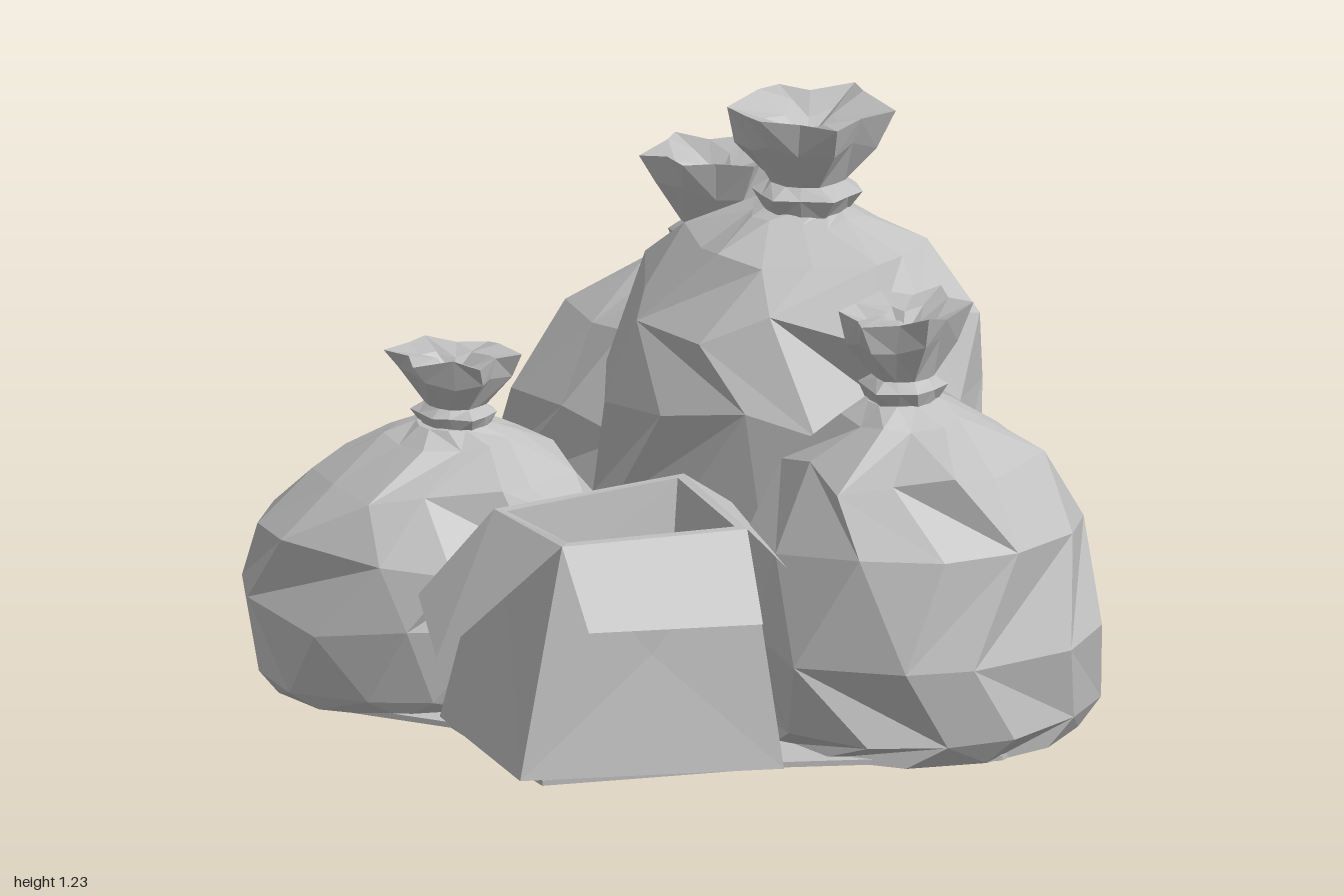
import * as THREE from 'three';

const grey = new THREE.MeshStandardMaterial({ color: 0xc0c0c0, side: THREE.DoubleSide, flatShading: true });
grey.name = 'grey';

function seeded(seed) {
  return () => {
    seed = (seed * 16807) % 2147483647;
    return seed / 2147483647;
  };
}

function facetMesh(name, points) {
  const geometry = new THREE.BufferGeometry().setFromPoints(points);
  geometry.computeVertexNormals();
  const mesh = new THREE.Mesh(geometry, grey);
  mesh.name = name;
  return mesh;
}

// Joins rings from bottom to top, turning the diagonals at random, and caps both ends
function loft(name, rings, bottom, top, rnd) {
  const pts = [], n = rings[0].length, last = rings[rings.length - 1];
  for (let j = 0; j < n; j++) {
    const k = (j + 1) % n;
    if (bottom) pts.push(bottom, rings[0][k], rings[0][j]);
    for (let i = 0; i < rings.length - 1; i++) {
      const a = rings[i][j], b = rings[i][k], c = rings[i + 1][k], d = rings[i + 1][j];
      if (rnd() < 0.5) pts.push(a, b, c, a, c, d);
      else pts.push(a, b, d, b, c, d);
    }
    if (top) pts.push(last[j], last[k], top);
  }
  return facetMesh(name, pts);
}

// Height fraction and radius fraction of the sacks
const ROUND = [[0, 0.87], [0.07, 0.95], [0.33, 1.02], [0.6, 0.92], [0.82, 0.67], [0.95, 0.34], [1, 0.2]];
const TALL = [[0, 0.92], [0.08, 0.98], [0.35, 1.02], [0.6, 0.99], [0.8, 0.85], [0.92, 0.58], [0.985, 0.29], [1, 0.2]];

function makeBag({ name, seed, centre, radius, neck, height, profile, tuft, tuftTop, sides = 12 }) {
  const rnd = seeded(seed), jitter = (s) => (rnd() - 0.5) * s;
  const bag = new THREE.Group();
  bag.name = name;

  // Body: the axis leans from the base centre to the neck
  const rings = profile.map(([f, r], i) => {
    const t = f * f * f, inner = i > 0 && i < profile.length - 1;
    const cx = centre[0] + (neck[0] - centre[0]) * t;
    const cz = centre[1] + (neck[1] - centre[1]) * t;
    return Array.from({ length: sides }, (_, j) => {
      const a = ((j + (i % 2) * 0.5 + jitter(inner ? 0.45 : 0.2)) / sides) * Math.PI * 2;
      const fold = f > 0.78 && inner ? (j % 2 ? 0.93 : 1.07) : 1;
      const k = r * fold * (1 + jitter(inner ? 0.07 : 0.02));
      const y = f * height + (inner ? jitter(0.07 * height * (f < 0.1 || f > 0.9 ? 0.35 : 1)) : 0);
      return new THREE.Vector3(cx + Math.sin(a) * radius[0] * k, y, cz + Math.cos(a) * radius[1] * k);
    });
  });
  bag.add(loft('sackBody', rings, new THREE.Vector3(centre[0], 0, centre[1]),
    new THREE.Vector3(neck[0], height, neck[1]), rnd));

  // Tied neck and pleated tuft, folding back into a hollow
  const h = tuftTop - height;
  const rows = [[-0.06, 0.5, 0], [0.14, 0.66, 0.1], [0.24, 0.46, 0.05], [0.62, 0.84, 0.2], [0.93, 1, 0.24], [0.82, 0.5, 0.4]];
  const n = 12;
  const tuftRings = rows.map(([f, r, pleat], i) => Array.from({ length: n }, (_, j) => {
    const a = ((j + jitter(0.35)) / n) * Math.PI * 2;
    const k = r * (1 - (j % 2) * pleat) * (1 + jitter(0.12));
    const y = height + f * h + (i > 2 ? jitter(0.16 * h) : 0);
    return new THREE.Vector3(neck[0] + Math.sin(a) * tuft[0] * k, y, neck[1] + Math.cos(a) * tuft[1] * k);
  }));
  bag.add(loft('tiedTuft', tuftRings, null, new THREE.Vector3(neck[0], height + h * 0.6, neck[1]), rnd));
  return bag;
}

function makeBox() {
  const V = (x, y, z) => new THREE.Vector3(x, y, z);
  const quad = (a, b, c, d) => [a, b, c, a, c, d];
  const box = new THREE.Group();
  box.name = 'openBox';
  // Corners run front, right, back, left
  const foot = [V(0.17, 0.03, 0.93), V(0.53, 0.01, 0.47), V(0.1, 0, 0.1), V(-0.27, 0.02, 0.62)];
  const rim = [V(0.2, 0.53, 0.82), V(0.44, 0.53, 0.48), V(0.03, 0.5, 0.15), V(-0.2, 0.47, 0.52)];
  const mid = V(0.12, 0.5, 0.49);
  const inset = (p, t, y) => V(p.x + (mid.x - p.x) * t, y, p.z + (mid.z - p.z) * t);
  const lip = rim.map((p) => inset(p, 0.1, p.y));
  const floor = rim.map((p) => inset(p, 0.22, 0.25));
  const walls = [], inside = [];
  for (let i = 0; i < 4; i++) {
    const k = (i + 1) % 4;
    // Each outer wall is dented slightly around its middle
    const dent = foot[i].clone().add(foot[k]).add(rim[i]).add(rim[k]).multiplyScalar(0.25);
    dent.lerp(V(mid.x, dent.y, mid.z), 0.05);
    [[foot[i], foot[k]], [foot[k], rim[k]], [rim[k], rim[i]], [rim[i], foot[i]]]
      .forEach(([a, b]) => walls.push(a, b, dent));
    inside.push(...quad(rim[i], rim[k], lip[k], lip[i]), ...quad(lip[i], lip[k], floor[k], floor[i]));
  }
  walls.push(...quad(foot[3], foot[2], foot[1], foot[0]));
  inside.push(...quad(...floor));
  box.add(facetMesh('boxWalls', walls), facetMesh('boxInside', inside));
  // Flaps folded outwards
  box.add(facetMesh('leftFlap', quad(rim[3], V(-0.29, 0.3, 0.67), V(0, 0.29, 1), rim[0])));
  box.add(facetMesh('rightFlap', quad(rim[0], V(0.33, 0.38, 0.9), V(0.57, 0.37, 0.6), rim[1])));
  box.add(facetMesh('backFlap', quad(rim[1], V(0.5, 0.44, 0.42), V(0.12, 0.44, 0.1), rim[2])));
  return box;
}

// Flat sheet closing the gaps beneath the pile
function makeBase() {
  const outline = [[0.8, -0.25], [0.85, 0.12], [0.5, 0.44], [0.17, 0.85], [-0.24, 0.62], [-0.5, 0.66], [-0.8, 0.45],
    [-0.82, 0.15], [-0.74, -0.25], [-0.8, -0.55], [-0.65, -0.82], [-0.4, -0.92], [-0.15, -0.74], [0.1, -0.62], [0.5, -0.36]];
  const shape = new THREE.Shape(outline.map(([x, z]) => new THREE.Vector2(x, -z)));
  const geometry = new THREE.ExtrudeGeometry(shape, { depth: 0.012, bevelEnabled: false });
  geometry.rotateX(-Math.PI / 2);
  const mesh = new THREE.Mesh(geometry, grey);
  mesh.name = 'pileBase';
  return mesh;
}

export function createModel() {
  const model = new THREE.Group();
  model.name = 'rubbishPile';
  const bags = [
    { name: 'tallBag', seed: 71, centre: [-0.01, -0.29], radius: [0.43, 0.39], neck: [0.04, -0.28],
      height: 1.0, profile: TALL, tuft: [0.18, 0.18], tuftTop: 1.23, sides: 13 },
    { name: 'leftBag', seed: 1203, centre: [0.54, -0.01], radius: [0.38, 0.41], neck: [0.52, 0.03],
      height: 0.73, profile: ROUND, tuft: [0.145, 0.15], tuftTop: 0.94 },
    { name: 'frontBag', seed: 4409, centre: [-0.53, 0.3], radius: [0.39, 0.43], neck: [-0.46, 0.31],
      height: 0.57, profile: ROUND, tuft: [0.15, 0.13], tuftTop: 0.735 },
    { name: 'backBag', seed: 9157, centre: [-0.46, -0.56], radius: [0.42, 0.44], neck: [-0.42, -0.57],
      height: 0.75, profile: ROUND, tuft: [0.17, 0.12], tuftTop: 0.97 },
  ];
  bags.forEach((b) => model.add(makeBag(b)));
  model.add(makeBox(), makeBase());
  return model;
}
